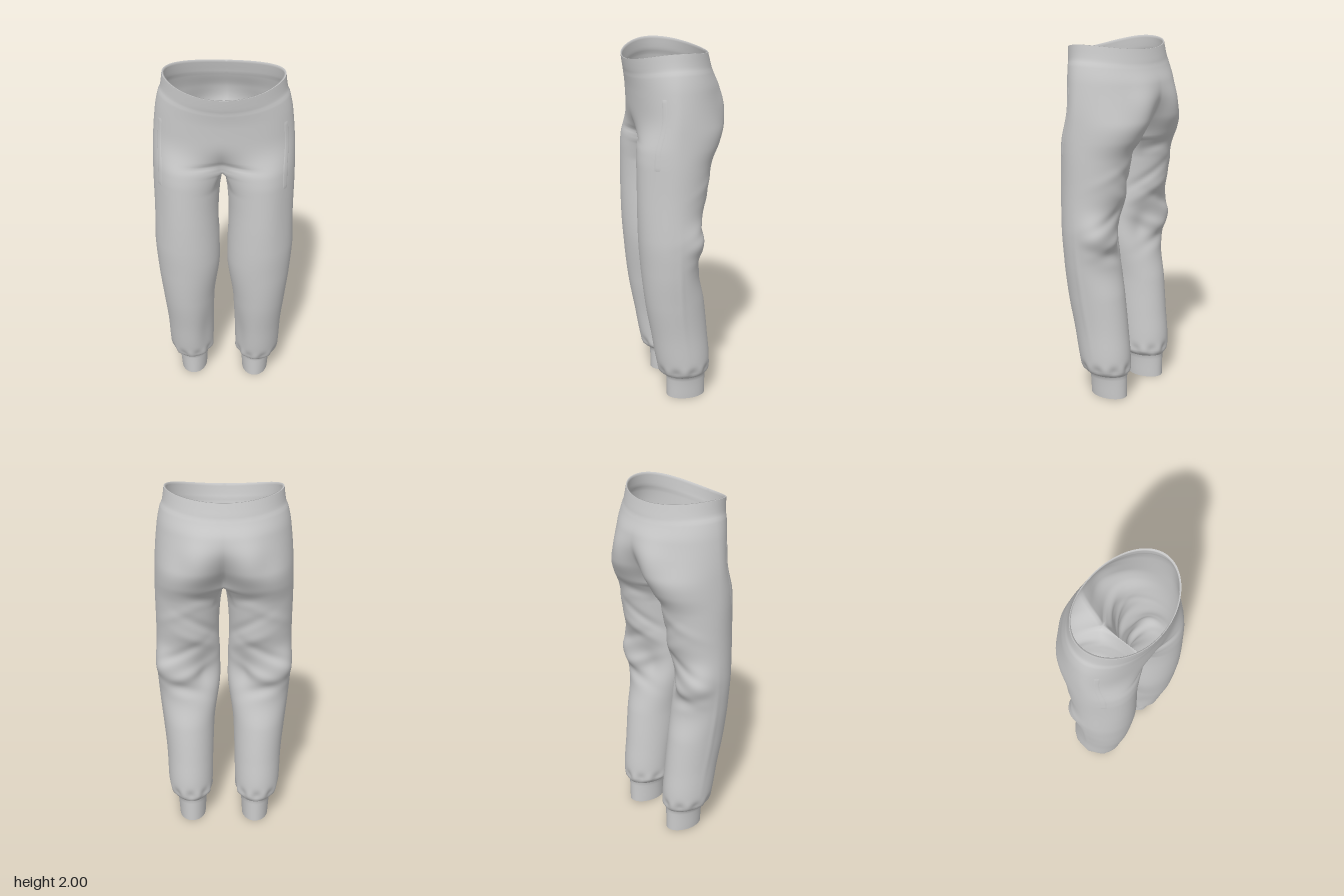
import * as THREE from 'three';
import { mergeGeometries, mergeVertices } from 'three/addons/utils/BufferGeometryUtils.js';

const STEP = 0.0125, CROTCH = 118, CUFF = 11, TOP = 160; // row height and key rows
const CROTCH_Y = CROTCH * STEP, RAD = Math.PI / 180;
const { lerp, smoothstep, clamp } = THREE.MathUtils;

// Smooth curve through [y, value] pairs that never overshoots
function profile(pts) {
  const s = pts.slice(1).map((p, i) => (p[1] - pts[i][1]) / (p[0] - pts[i][0]));
  const m = pts.map((_, i) => {
    const a = s[i - 1], b = s[i];
    if (a === undefined || b === undefined) return a ?? b;
    return a * b <= 0 ? 0 : 2 * a * b / (a + b);
  });
  return y => {
    let i = 0;
    while (i < pts.length - 2 && y > pts[i + 1][0]) i++;
    const h = pts[i + 1][0] - pts[i][0], t = clamp((y - pts[i][0]) / h, 0, 1), t2 = t * t, t3 = t2 * t;
    return (2 * t3 - 3 * t2 + 1) * pts[i][1] + (t3 - 2 * t2 + t) * h * m[i]
      + (3 * t2 - 2 * t3) * pts[i + 1][1] + (t3 - t2) * h * m[i + 1];
  };
}

// Outlines of one leg and the hips above it; widest is the z of the side seam
const inner = profile([[0, 0.11], [0.13, 0.1], [0.17, 0.068], [0.4, 0.062], [0.6, 0.055], [0.9, 0.02], [1.2, 0.028], [1.4, 0.015], [1.5, 0.004], [2, 0]]);
const outer = profile([[0, 0.262], [0.13, 0.275], [0.16, 0.31], [0.22, 0.325], [0.4, 0.332], [0.6, 0.35], [0.8, 0.371], [1, 0.383], [1.2, 0.382], [1.4, 0.384], [1.6, 0.379], [1.8, 0.362], [1.9, 0.342], [1.93, 0.33], [2, 0.32]]);
const front = profile([[0, 0.073], [0.13, 0.076], [0.16, 0.115], [0.22, 0.133], [0.4, 0.165], [0.6, 0.2], [0.8, 0.222], [1, 0.236], [1.2, 0.24], [1.4, 0.24], [1.55, 0.23], [1.8, 0.24], [2, 0.265]]);
const back = profile([[0, -0.15], [0.13, -0.15], [0.16, -0.166], [0.22, -0.17], [0.4, -0.155], [0.6, -0.132], [0.78, -0.1], [0.95, -0.1], [1.1, -0.112], [1.2, -0.135], [1.4, -0.168], [1.5, -0.212], [1.6, -0.25], [1.7, -0.256], [1.8, -0.246], [1.9, -0.215], [2, -0.19]]);
const widest = profile([[0, -0.037], [0.2, -0.02], [0.6, 0.035], [1, 0.055], [1.4, 0.045], [1.7, 0.04], [2, 0.035]]);

// Cloth folds: angle, height, angular width, vertical width, slope, depth
const folds = [
  [199, 1.65, 24, 0.13, 0, 0.026], // seat
  [135, 0.98, 28, 0.1, 0, 0.038], [215, 0.94, 30, 0.12, 0, -0.042], // twisted knee
  [50, 1.3, 28, 0.4, 0, -0.01],
  [185, 0.94, 50, 0.04, 0.0012, 0.012], [172, 0.85, 45, 0.04, -0.001, -0.014],
  [165, 1.07, 45, 0.035, 0.0015, -0.01], [205, 1.15, 40, 0.035, -0.0015, 0.007],
  [215, 1.24, 40, 0.03, -0.002, -0.009], [160, 1.32, 40, 0.035, 0.0015, 0.004],
  [205, 1.42, 30, 0.03, -0.001, -0.007],
  [-35, 1.53, 28, 0.014, -0.0003, -0.009], [-50, 0.35, 25, 0.18, 0, -0.013],
  [92, 0.65, 5, 0.3, 0, 0.004],
];
const bell = x => Math.exp(-x * x);
function relief(y, a) {
  let d = 0;
  for (const [fa, fy, wa, wy, slope, depth] of folds) {
    const da = ((a - fa + 540) % 360) - 180;
    d += depth * bell(da / wa) * bell((y - fy - slope * da) / wy);
  }
  // gathers above the cuff and waistband stitching
  d += 0.006 * bell((y - 0.18) / 0.03) * (Math.cos(a * 9 * RAD) - 0.5) * smoothstep(y, 0.138, 0.16);
  return d - 0.0015 * bell((y - 1.915) / 0.01);
}

// Point on one side: angle 0 = front, 90 = outside, 180 = back, 230..310 = inner thigh
function surfacePoint(y, a, lift = 0) {
  const xi = inner(y), xo = outer(y), cz = widest(y);
  const cx = (xi + xo) / 2, rx = (xo - xi) / 2, d = relief(y, a) + lift;
  const depthAt = c => cz + ((c > 0 ? front(y) - cz : cz - back(y)) + d) * c;
  const legX = cx + (rx + d) * Math.sin(a * RAD);
  let x = legX, z = depthAt(Math.cos(a * RAD));
  // legs separate just below the crotch
  const open = Math.sqrt(clamp((CROTCH_Y - y) / 0.12, 0, 1));
  const u = (a - 90) / 140;
  if (u > 1 + 1e-6) x *= open;
  else {
    const endX = cx + (rx + relief(y, u < 0 ? -50 : 230) + lift) * Math.sin(230 * RAD);
    x -= endX * (1 - open) * u ** 6;
    // hips blend the two legs into one oval, quickly in front, slowly behind
    const t = (u + 1) * Math.PI / 2;
    const w = (1 - smoothstep(y, CROTCH_Y, lerp(1.73, 1.87, smoothstep(u, -0.6, 0.6)))) ** 2;
    x = lerp((xo + d) * Math.sin(t), x, w);
    z = lerp(depthAt(Math.cos(t)), z, w);
    if (Math.abs(u) > 1 - 1e-6 && y >= CROTCH_Y - 1e-6) x = 0;
    // waist rim dips at front and back
    y -= smoothstep(y, 1.65, 2) * (u < 0 ? 0.055 : 0.032) * Math.cos(t) ** 2;
  }
  return [x, y, z];
}

// Grid of points, facing outward; mirrored copies get reversed corners
function grid(rows, cols, point, mirror) {
  const pos = [], idx = [];
  for (let j = 0; j <= rows; j++) for (let i = 0; i <= cols; i++) {
    const [x, y, z] = point(j, i);
    pos.push(x * mirror, y, z);
  }
  for (let j = 0; j < rows; j++) for (let i = 0; i < cols; i++) {
    const a = j * (cols + 1) + i, b = a + 1, c = b + cols + 1, d = c - 1;
    idx.push(...(mirror > 0 ? [a, b, c, a, c, d] : [a, c, b, a, d, c]));
  }
  const g = new THREE.BufferGeometry();
  g.setAttribute('position', new THREE.Float32BufferAttribute(pos, 3));
  g.setIndex(idx);
  return g;
}

function weld(parts) {
  const g = mergeVertices(mergeGeometries(parts), 1e-5);
  g.computeVertexNormals();
  return g;
}

export function createModel() {
  const group = new THREE.Group();
  const cloth = new THREE.MeshStandardMaterial({ color: 0xcccccc, side: THREE.DoubleSide });
  const add = (name, parts) => {
    const mesh = new THREE.Mesh(weld(parts), cloth);
    mesh.name = name;
    group.add(mesh);
  };
  const OUT = 70, IN = 20;
  const outerPanel = (from, to, side) => grid(to - from, OUT, (j, i) => surfacePoint((from + j) * STEP, -50 + 280 * i / OUT), side);
  const innerPanel = (from, to, side) => grid(to - from, IN, (j, i) =>
    surfacePoint((from + j) * STEP, i === IN ? -50 : 230 + 80 * i / IN), side);

  // hips and both legs as one welded cloth surface
  add('trousers', [1, -1].flatMap(s => [outerPanel(CUFF, TOP, s), innerPanel(CUFF, CROTCH, s)]));

  // ankle cuffs
  for (const [name, s] of [['leftCuff', 1], ['rightCuff', -1]])
    add(name, [outerPanel(0, CUFF, s), innerPanel(0, CUFF, s)]);

  // narrow turned-in hem at the waist
  const hem = s => grid(2, OUT, (j, i) => {
    const [x, y, z] = surfacePoint(j === 2 ? 1.985 : 2, -50 + 280 * i / OUT);
    const k = j ? 0.97 : 1;
    return [x * k, y, (z - 0.037) * k + 0.037];
  }, s);
  add('waistHem', [hem(1), hem(-1)]);

  // flat strips covering the side pocket openings
  for (const [name, s] of [['leftPocketStrip', 1], ['rightPocketStrip', -1]])
    add(name, [grid(30, 6, (j, i) =>
      surfacePoint(1.39 + j * 0.013, 44 + i * 2, i % 6 && j % 30 ? 0.0015 : -0.001), s)]);

  return group;
}
